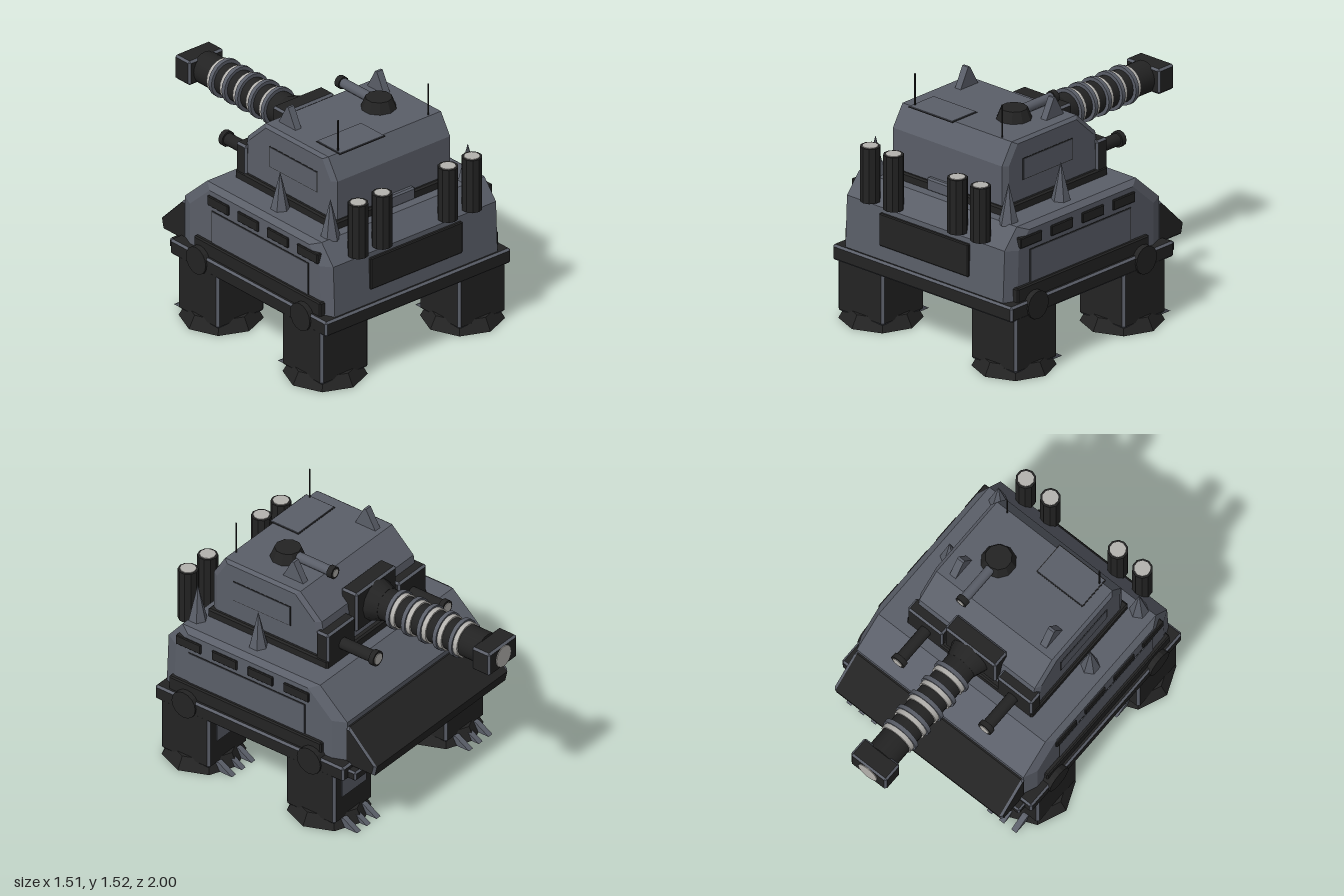
import * as THREE from 'three';
import { ConvexGeometry } from 'three/addons/geometries/ConvexGeometry.js';

const mat = (name, color) => {
  const m = new THREE.MeshStandardMaterial({ color });
  m.name = name;
  return m;
};

export function createModel() {
  const armour = mat('armour grey', 0x5a5e68);
  const dark = mat('dark metal', 0x232323);
  const steel = mat('bright steel', 0xb4b2ae);
  const model = new THREE.Group();
  model.name = 'walkingTank';

  const add = (name, geo, material, parent = model) => {
    const m = new THREE.Mesh(geo, material);
    m.name = name;
    parent.add(m);
    return m;
  };

  // Convex solid whose bevel faces can take a second material
  function convex(name, pts, material, edge, isEdge, parent) {
    const src = new ConvexGeometry(pts);
    const p = src.attributes.position.array, n = src.attributes.normal;
    const lists = [[], []];
    for (let i = 0; i < n.count; i += 3) {
      const k = isEdge(Math.abs(n.getX(i)), Math.abs(n.getY(i)), Math.abs(n.getZ(i))) ? 1 : 0;
      for (let j = i * 3; j < i * 3 + 9; j++) lists[k].push(p[j]);
    }
    const geo = new THREE.BufferGeometry();
    geo.setAttribute('position', new THREE.Float32BufferAttribute([...lists[0], ...lists[1]], 3));
    geo.addGroup(0, lists[0].length / 3, 0);
    geo.addGroup(lists[0].length / 3, lists[1].length / 3, 1);
    geo.computeVertexNormals();
    return add(name, geo, [material, edge], parent);
  }

  // Chamfered box given by its [min, max] on each axis
  function block(name, [x0, x1], [y0, y1], [z0, z1], b, material, edge = material, parent = model) {
    const c = [(x0 + x1) / 2, (y0 + y1) / 2, (z0 + z1) / 2];
    const h = [(x1 - x0) / 2, (y1 - y0) / 2, (z1 - z0) / 2];
    const pts = [];
    for (const i of [-1, 1]) for (const j of [-1, 1]) for (const k of [-1, 1])
      for (let a = 0; a < 3; a++) {
        const q = h.map((v, t) => (t === a ? v : v - b));
        pts.push(new THREE.Vector3(c[0] + i * q[0], c[1] + j * q[1], c[2] + k * q[2]));
      }
    return convex(name, pts, material, edge, (x, y, z) => Math.max(x, y, z) < 0.99, parent);
  }

  // Side profile [z, y] spread across x, with bevelled ends
  function slab(name, profile, x, w, b, material, edge = material, parent = model) {
    const cz = profile.reduce((s, q) => s + q[0], 0) / profile.length;
    const cy = profile.reduce((s, q) => s + q[1], 0) / profile.length;
    const r = Math.max(...profile.map(q => Math.abs(q[1] - cy)));
    const s = 1 - b / r, pts = [];
    for (const e of [-1, 1]) for (const [z, y] of profile) {
      pts.push(new THREE.Vector3(x + e * (w - b), y, z));
      if (b > 0) pts.push(new THREE.Vector3(x + e * w, cy + (y - cy) * s, cz + (z - cz) * s));
    }
    return convex(name, pts, material, edge, nx => nx > 0.01 && nx < 0.99, parent);
  }

  const box = (name, [x0, x1], [y0, y1], [z0, z1], material, parent) => {
    const m = add(name, new THREE.BoxGeometry(x1 - x0, y1 - y0, z1 - z0), material, parent);
    m.position.set((x0 + x1) / 2, (y0 + y1) / 2, (z0 + z1) / 2);
    return m;
  };

  // Tube along z running from z0 (radius r0) towards the muzzle at z1 (radius r1)
  function barrel(name, x, y, z0, z1, r0, r1, material, sides = 16) {
    const geo = new THREE.CylinderGeometry(r1, r0, z0 - z1, sides);
    geo.rotateX(-Math.PI / 2);
    const m = add(name, geo, material);
    m.position.set(x, y, (z0 + z1) / 2);
    return m;
  }

  const upright = (name, x, y0, y1, z, rBottom, rTop, sides, material, parent) => {
    const m = add(name, new THREE.CylinderGeometry(rTop, rBottom, y1 - y0, sides).toNonIndexed(), material, parent);
    m.geometry.computeVertexNormals();
    m.position.set(x, (y0 + y1) / 2, z);
    return m;
  };

  // Hull, chassis rail and ram plate
  slab('hull', [[0.95, 0.52], [0.935, 0.885], [0.835, 1.005], [-0.155, 1.005], [-0.35, 0.83], [-0.35, 0.52]],
    0, 0.645, 0.035, armour);
  block('chassisRail', [-0.695, 0.695], [0.475, 0.57], [-0.385, 0.97], 0.012, dark, armour);
  block('rearBumper', [-0.65, 0.65], [0.48, 0.54], [-0.44, -0.36], 0.01, dark, armour);
  slab('ramPlate', [[-0.34, 0.8], [-0.36, 0.8], [-0.555, 0.606], [-0.54, 0.54], [-0.34, 0.54]],
    0, 0.615, 0.015, dark, armour);
  block('frontGrille', [-0.345, 0.345], [0.655, 0.855], [0.92, 0.955], 0.006, dark);

  // Main gun
  const gunY = 1.233;
  block('mantlet', [-0.185, 0.185], [1.1, 1.365], [-0.085, 0.03], 0.012, dark, armour);
  barrel('barrelCollar', 0, gunY, -0.08, -0.165, 0.13, 0.1, dark, 12);
  barrel('mainBarrel', 0, gunY, -0.16, -0.88, 0.097, 0.097, dark, 20);
  for (let i = 0; i < 5; i++) {
    const z = -0.236 - i * 0.113;
    barrel('coolingRing', 0, gunY, z, z - 0.026, 0.118, 0.118, armour, 20);
    barrel('brightBand', 0, gunY, z - 0.026, z - 0.055, 0.107, 0.107, steel, 20);
  }
  block('muzzleBrake', [-0.13, 0.13], [1.157, 1.311], [-0.995, -0.865], 0.012, dark, armour);
  barrel('muzzleBore', 0, gunY, -0.99, -1, 0.068, 0.068, steel, 16);

  // Turret
  block('turretBase', [-0.46, 0.46], [0.99, 1.055], [-0.09, 0.775], 0.01, dark);
  block('turretRearLip', [-0.14, 0.14], [1.0, 1.08], [0.7, 0.782], 0.01, armour);
  slab('turret', [[0.755, 1.04], [0.755, 1.297], [0.675, 1.425], [0.134, 1.425], [-0.02, 1.28], [-0.06, 1.04]],
    0, 0.442, 0.02, armour);
  box('hatchSeam', [-0.355, -0.015], [1.424, 1.427], [0.49, 0.7], dark);
  box('hatch', [-0.349, -0.021], [1.424, 1.432], [0.496, 0.694], armour);
  upright('cupola', 0.19, 1.42, 1.49, 0.405, 0.106, 0.078, 10, dark);
  barrel('cupolaGun', 0.19, 1.455, 0.35, 0.09, 0.03, 0.03, armour, 12);
  barrel('cupolaGunTip', 0.19, 1.455, 0.1, 0.065, 0.038, 0.038, dark, 12);
  barrel('cupolaGunBore', 0.19, 1.455, 0.07, 0.062, 0.024, 0.024, steel, 12);

  for (const s of [-1, 1]) {
    const span = (a, b) => (s > 0 ? [a, b] : [-b, -a]);

    // Hull flanks
    block('sideSkirt', span(0.62, 0.67), [0.56, 0.655], [-0.205, 0.89], 0.008, dark);
    box('sidePanelSeam', span(0.64, 0.647), [0.65, 0.858], [-0.075, 0.765], dark);
    box('sidePanel', span(0.64, 0.65), [0.65, 0.853], [-0.07, 0.76], armour);
    for (let i = 0; i < 4; i++) {
      const z = 0.76 - i * 0.258;
      block('sideSlot', span(0.62, 0.657), [0.885, 0.948], [z - 0.09, z + 0.09], 0.005, dark);
    }

    // Exhaust stacks
    for (const x of [0.247, 0.427]) {
      upright('exhaust', s * x, 0.905, 1.24, 0.938, 0.06, 0.06, 10, dark);
      upright('exhaustCap', s * x, 1.236, 1.244, 0.938, 0.047, 0.047, 10, steel);
    }

    // Hull spikes
    for (const z of [0.365, 0.8]) upright('spike', s * 0.515, 0.99, 1.233, z, 0.06, 0.001, 6, armour);

    // Turret side panel, fin and antenna
    box('turretPanelSeam', span(0.436, 0.4435), [1.175, 1.308], [0.188, 0.604], dark);
    box('turretPanel', span(0.436, 0.446), [1.18, 1.303], [0.193, 0.599], armour);
    slab('turretFin', [[0.315, 1.42], [0.25, 1.545], [0.235, 1.545], [0.165, 1.42]], s * 0.332, 0.022, 0, armour);
    upright('antenna', s * 0.338, 1.42, 1.625, 0.662, 0.005, 0.005, 6, dark);

    // Secondary guns
    block('gunMount', span(0.2, 0.455), [1.02, 1.23], [-0.09, 0], 0.012, dark, armour);
    barrel('sideGun', s * 0.318, 1.108, -0.05, -0.32, 0.037, 0.037, dark, 12);
    barrel('sideGunTip', s * 0.318, 1.108, -0.31, -0.342, 0.048, 0.048, dark, 12);
    barrel('sideGunBore', s * 0.318, 1.108, -0.338, -0.346, 0.034, 0.034, steel, 12);

    // Legs with hip hubs, feet and claws
    for (const z of [0.755, -0.145]) {
      const leg = new THREE.Group();
      leg.name = 'leg';
      leg.position.set(s * 0.515, 0, z);
      model.add(leg);
      block('legColumn', [-0.177, 0.177], [0.15, 0.5], [-0.175, 0.175], 0.014, dark, armour, leg);
      box('legPlate', [-0.11, 0.11], [0.315, 0.46], [-0.183, -0.174], armour, leg);
      upright('foot', 0, 0.107, 0.182, 0, 0.242, 0.2, 8, dark, leg);
      for (const x of [-0.09, 0, 0.09])
        slab('claw', [[-0.15, 0.165], [-0.19, 0.165], [-0.285, 0.107], [-0.15, 0.107]], x, 0.018, 0, armour, armour, leg);
      const hub = upright('hipHub', s * 0.16, 0, 0.06, 0, 0.085, 0.085, 16, dark, leg);
      hub.rotation.z = Math.PI / 2;
      hub.position.set(s * 0.16, 0.528, 0);
    }
  }
  return model;
}
